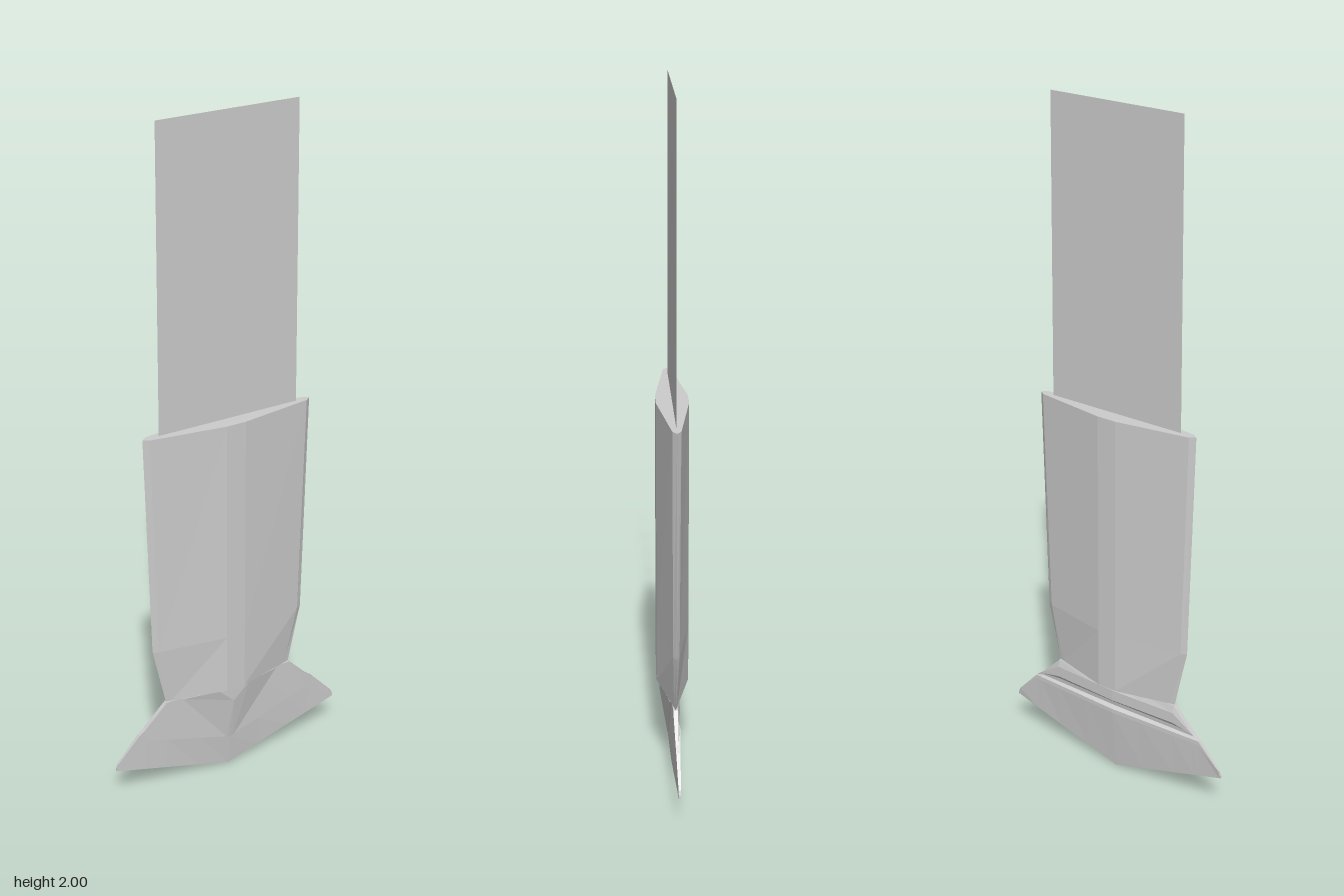
import * as THREE from 'three';

const material = new THREE.MeshStandardMaterial({ color: 0xcccccc, flatShading: true, side: THREE.DoubleSide });

// Skin a list of closed rings (arrays of [x, y, z]) and cap both ends
function loft(name, rings) {
  const pos = [];
  const tri = (...points) => points.forEach((p) => pos.push(...p));
  const n = rings[0].length;
  for (let r = 0; r < rings.length - 1; r++) {
    for (let i = 0; i < n; i++) {
      const j = (i + 1) % n;
      const a = rings[r], b = rings[r + 1];
      tri(a[i], a[j], b[j]);
      tri(a[i], b[j], b[i]);
    }
  }
  const first = rings[0], last = rings[rings.length - 1];
  for (let i = 1; i < n - 1; i++) {
    tri(first[0], first[i + 1], first[i]);
    tri(last[0], last[i], last[i + 1]);
  }
  const geometry = new THREE.BufferGeometry();
  geometry.setAttribute('position', new THREE.Float32BufferAttribute(pos, 3));
  geometry.computeVertexNormals();
  const mesh = new THREE.Mesh(geometry, material);
  mesh.name = name;
  return mesh;
}

// Flattened diamond section: wide middle ridge, thin bevelled sides
function bodyRing(y, halfWidth, edge) {
  const w = halfWidth, inner = w - 0.016;
  return [
    [-0.03, y, 0.045], [0.03, y, 0.045], [inner, y, edge], [w, y, 0],
    [inner, y, -edge], [0.03, y, -0.046], [-0.03, y, -0.046],
    [-inner, y, -edge], [-w, y, 0], [-inner, y, edge],
  ];
}

// Upper outline of the flared tip as [x, y]
const shoulder = [[0, 0.29], [0.1, 0.29], [0.21, 0.29], [0.28, 0.22], [0.3, 0.205], [0.37, 0.13], [0.376, 0.115]];

// Vertical slice of the tip, front face then the grooved back
function tipRing(x, top) {
  const s = Math.abs(x) / 0.376;
  const bottom = 0.108 * s;
  const back = 0.005 + 0.016 * (1 - s);
  const at = (y, z) => [x, Math.max(bottom, Math.min(y, top)), z];
  return [
    at(top, 0.001 + 0.014 * (1 - s)),
    at(bottom + 0.1, 0.001 + 0.011 * (1 - s)),
    at(bottom, 0.001),
    at(bottom, -0.002),
    at(0.192, -back), at(0.205, -back),
    at(0.212, -back * 0.4), at(0.225, -back * 0.5),
    at(0.235, -back), at(0.268, -back),
    at(top, -back * 0.5),
  ];
}

// Raised wedge on the front of the tip
function makeWedge() {
  const outline = [[-0.16, 0.288], [-0.012, 0.103], [0, 0.1], [0.012, 0.103], [0.16, 0.288], [0.05, 0.288], [-0.05, 0.288]];
  const base = outline.map(([x, y]) => [x, y, 0.0]);
  const rim = outline.map(([x, y]) => [x, y, Math.abs(x) === 0.05 ? 0.03 : 0.013]);
  const peak = [[-0.05, 0.288, 0.036], [-0.002, 0.242, 0.035], [0, 0.24, 0.035], [0.002, 0.242, 0.035],
    [0.05, 0.288, 0.036], [0.02, 0.288, 0.04], [-0.02, 0.288, 0.04]];
  return loft('tipWedge', [base, rim, peak]);
}

export function createModel() {
  const group = new THREE.Group();

  // Thin flat strap rising out of the body
  const strapShape = new THREE.Shape([
    new THREE.Vector2(-0.217, 1.1), new THREE.Vector2(0.223, 1.1),
    new THREE.Vector2(0.217, 2), new THREE.Vector2(-0.212, 2),
  ]);
  const strap = new THREE.Mesh(new THREE.ShapeGeometry(strapShape), material);
  strap.name = 'strap';
  group.add(strap);

  // Main sleeve, narrowing towards the tip
  group.add(loft('sleeve', [
    bodyRing(0.29, 0.21, 0.004),
    bodyRing(0.47, 0.25, 0.009),
    bodyRing(1.14, 0.267, 0.012),
  ]));

  // Flared tip, mirrored about the middle
  const left = shoulder.slice(1).reverse().map(([x, y]) => [-x, y]);
  group.add(loft('flaredTip', [...left, ...shoulder].map(([x, y]) => tipRing(x, y))));
  group.add(makeWedge());

  return group;
}
